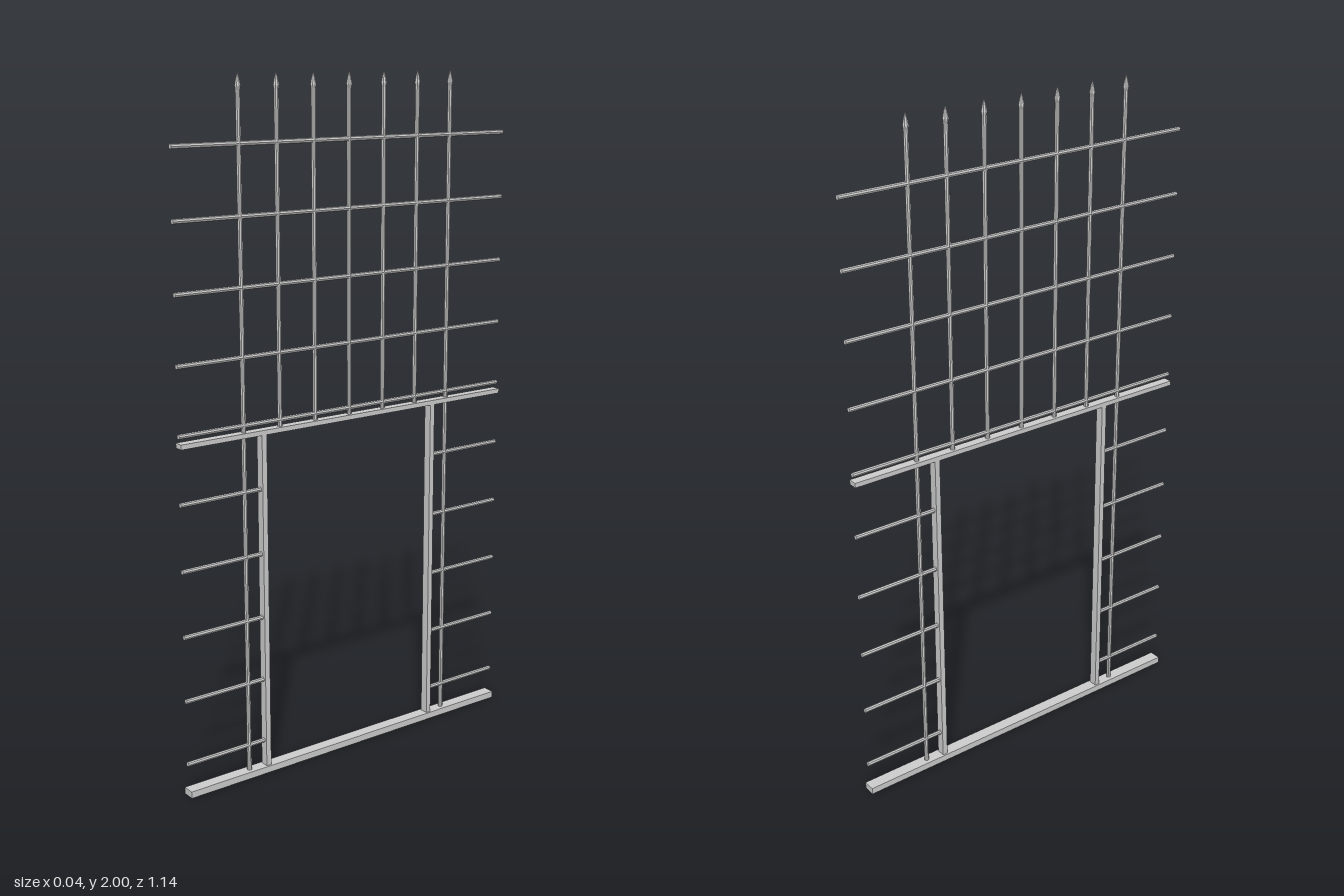
import * as THREE from 'three';

export function createModel() {
  const group = new THREE.Group();
  const mat = new THREE.MeshStandardMaterial({ color: 0xcccccc, flatShading: true });
  const half = 0.57;

  function add(name, geo, x, y, z) {
    const mesh = new THREE.Mesh(geo, mat);
    mesh.name = name;
    mesh.position.set(x, y, z);
    group.add(mesh);
    return mesh;
  }

  // Round rail along z
  function rail(name, y, z0, z1) {
    const geo = new THREE.CylinderGeometry(0.007, 0.007, z1 - z0, 8);
    geo.rotateX(Math.PI / 2);
    add(name, geo, 0, y, (z0 + z1) / 2);
  }

  // Upright bar with a slightly flared spear point
  function picket(z, y0) {
    const profile = [[0, y0], [0.007, y0], [0.007, 1.955], [0.009, 1.965], [0.005, 1.985], [0, 2]]
      .map(([r, y]) => new THREE.Vector2(r, y));
    add('spikedBar', new THREE.LatheGeometry(profile, 8), 0, 0, z);
  }

  // Door frame: sill, lintel and two posts
  add('sill', new THREE.BoxGeometry(0.037, 0.02, half * 2), 0, 0.01, 0);
  add('lintel', new THREE.BoxGeometry(0.028, 0.014, half * 2), 0, 1.027, 0);
  for (const s of [-1, 1]) {
    add('doorPost', new THREE.BoxGeometry(0.026, 1.0, 0.016), 0, 0.52, s * 0.303);
  }

  // Rails: short at both sides of the opening, full width above it
  for (let i = 0; i < 10; i++) {
    const y = 0.098 + i * 0.191;
    if (i < 5) {
      rail('sideRail', y, 0.303, half);
      rail('sideRail', y, -half, -0.303);
    } else {
      rail('upperRail', y, -half, half);
    }
  }

  // Uprights: the outer pair reach the sill, the others stand on the lintel
  for (let i = -3; i <= 3; i++) picket(i * 0.121, Math.abs(i) === 3 ? 0.01 : 1.025);

  return group;
}
